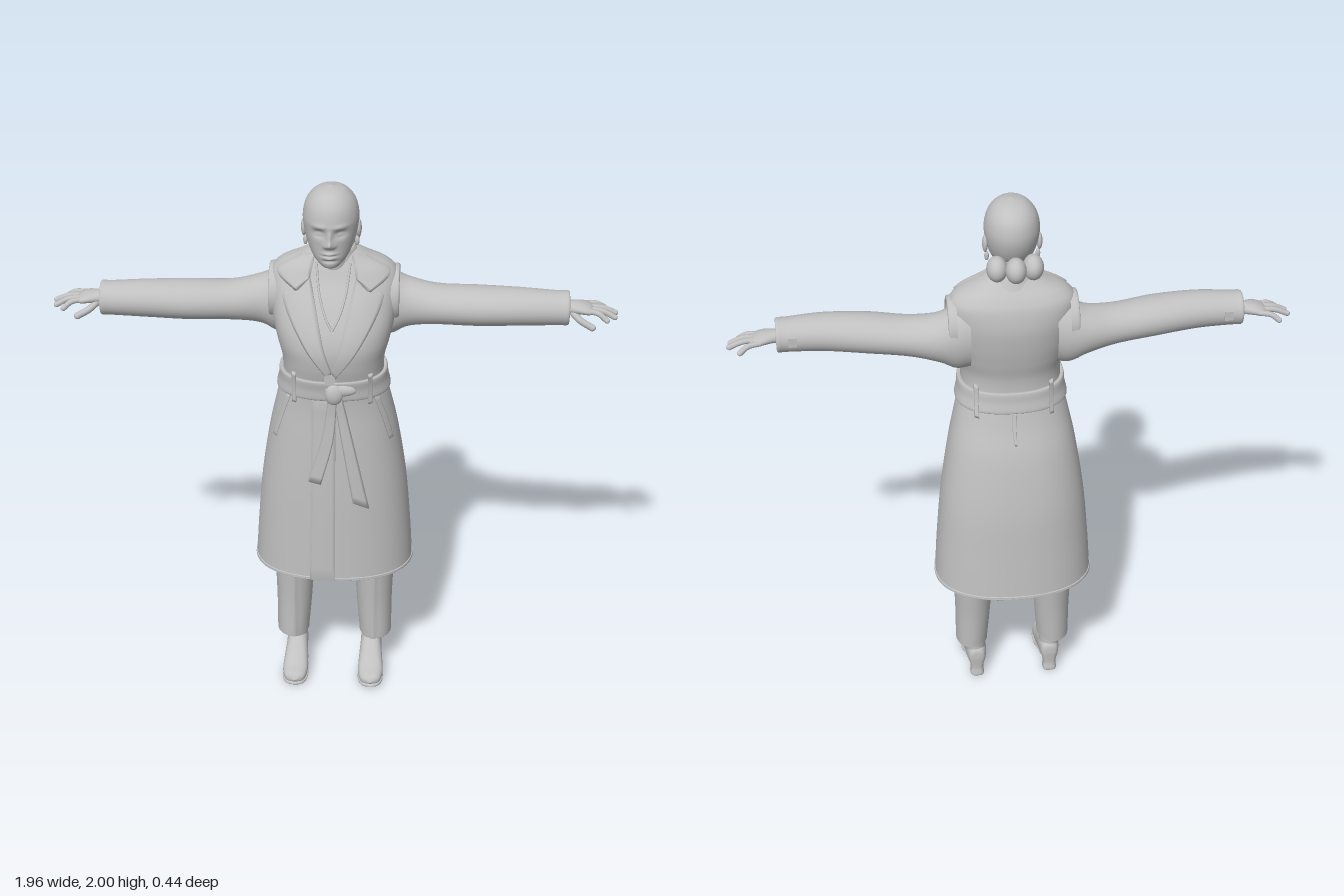
import * as THREE from 'three';

const grey = new THREE.MeshStandardMaterial({ color: 0xc0c0c0, side: THREE.DoubleSide });
grey.name = 'plain grey';

// smooth interpolation through a list of cross-sections [x, y, z, radiusA, radiusB]
function sample(rows, t) {
  const n = rows.length - 1, f = Math.min(Math.max(t, 0), 1) * n;
  const i = Math.min(Math.floor(f), n - 1), u = f - i;
  return rows[i].map((b, k) => {
    const c = rows[i + 1][k];
    const a = i > 0 ? rows[i - 1][k] : 2 * b - c;
    const d = i + 2 <= n ? rows[i + 2][k] : 2 * c - b;
    return 0.5 * (2 * b + (c - a) * u + (2 * a - 5 * b + 4 * c - d) * u * u + (3 * b - a - 3 * c + d) * u * u * u);
  });
}

const power = (v, p) => Math.sign(v) * Math.pow(Math.abs(v), 2 / p);

// skin rings of superellipses laid across one axis
function loft(rows, axis = 'y', { seg = 32, steps = 40, p = 2, rule } = {}) {
  const pos = [], idx = [];
  const main = 'xyz'.indexOf(axis);
  const flip = (axis !== 'y') !== (rows[rows.length - 1][main] < rows[0][main]);
  for (let i = 0; i <= steps; i++) {
    const [x, y, z, ra, rb] = sample(rows, i / steps);
    for (let j = 0; j < seg; j++) {
      const t = (j / seg) * Math.PI * 2;
      const a = Math.max(ra, 0) * power(Math.cos(t), p), b = Math.max(rb, 0) * power(Math.sin(t), p);
      const v = axis === 'y' ? [x + a, y, z + b] : axis === 'x' ? [x, y + a, z + b] : [x + a, y + b, z];
      pos.push(...(rule ? rule(v) : v));
      if (i < steps) {
        const q = i * seg + j, r = i * seg + ((j + 1) % seg);
        if (flip) idx.push(q, r, q + seg, r, r + seg, q + seg);
        else idx.push(q, q + seg, r, r, q + seg, r + seg);
      }
    }
  }
  return build(pos, idx);
}

function build(pos, idx) {
  const g = new THREE.BufferGeometry();
  g.setAttribute('position', new THREE.Float32BufferAttribute(pos, 3));
  g.setIndex(idx);
  g.computeVertexNormals();
  return g;
}

// coat body from hem to collar
const coatRows = [
  [0, 0.49, -0.015, 0.288, 0.207], [0, 0.65, -0.01, 0.278, 0.2], [0, 0.85, -0.003, 0.26, 0.19],
  [0, 1.05, 0.012, 0.23, 0.168], [0, 1.18, 0.03, 0.203, 0.145], [0, 1.28, 0.045, 0.18, 0.137],
  [0, 1.36, 0.055, 0.178, 0.145], [0, 1.43, 0.05, 0.195, 0.155], [0, 1.5, 0.035, 0.21, 0.153],
  [0, 1.58, 0.012, 0.218, 0.137], [0, 1.65, -0.005, 0.22, 0.11], [0, 1.69, -0.005, 0.19, 0.09],
  [0, 1.72, 0, 0.13, 0.07], [0, 1.745, 0.005, 0.08, 0.055], [0, 1.75, 0.01, 0.05, 0.04]];
const COAT_P = 2.3;

function coatAt(y) {
  let lo = 0, hi = 1;
  for (let i = 0; i < 30; i++) {
    const m = (lo + hi) / 2;
    if (sample(coatRows, m)[1] < y) lo = m; else hi = m;
  }
  return sample(coatRows, lo);
}
function coatZ(x, y, side = 1) {
  const [, , cz, a, b] = coatAt(y);
  const k = Math.min(Math.abs(x) / a, 1);
  return cz + side * b * Math.pow(1 - Math.pow(k, COAT_P), 1 / COAT_P);
}

// cloth piece between two edge lines, draped over the coat
function drape(edgeA, edgeB, lift = 0.01, side = 1, rows = 14, cols = 8) {
  const along = (e, t) => sample(e, t), pos = [], idx = [], w = cols + 3;
  const params = (n) => [0, ...Array.from({ length: n + 1 }, (_, i) => i / n), 1];
  const us = params(rows), vs = params(cols);
  us.forEach((u, i) => vs.forEach((v, j) => {
    const a = along(edgeA, u), b = along(edgeB, u);
    const x = a[0] + (b[0] - a[0]) * v, y = a[1] + (b[1] - a[1]) * v;
    const rim = i === 0 || j === 0 || i === us.length - 1 || j === vs.length - 1;
    pos.push(x, y, coatZ(x, y, side) + side * (rim ? -0.004 : lift));
    if (i < us.length - 1 && j < vs.length - 1) {
      const q = i * w + j;
      idx.push(q, q + w, q + 1, q + 1, q + w, q + w + 1);
    }
  }));
  const n = [edgeA[0], edgeB[0], edgeA[edgeA.length - 1]];
  const turn = (n[2][0] - n[0][0]) * (n[1][1] - n[0][1]) - (n[2][1] - n[0][1]) * (n[1][0] - n[0][0]);
  if (turn * side < 0) idx.reverse();
  return build(pos, idx).toNonIndexed();
}

function tube(points, r, seg = 24) {
  const c = new THREE.CatmullRomCurve3(points.map((q) => new THREE.Vector3(...q)));
  return new THREE.TubeGeometry(c, seg, r, 10);
}
const ball = (x, y, z, a, b, c) => new THREE.SphereGeometry(1, 24, 16).scale(a, b, c).translate(x, y, z);

function mirrored(g) {
  const m = (g.index ? g.toNonIndexed() : g.clone()).scale(-1, 1, 1);
  for (const name of ['position', 'normal']) {
    const at = m.attributes[name];
    for (let i = 0; i < at.count; i += 3) {
      const s = [at.getX(i), at.getY(i), at.getZ(i)];
      at.setXYZ(i, at.getX(i + 1), at.getY(i + 1), at.getZ(i + 1));
      at.setXYZ(i + 1, ...s);
    }
  }
  return m;
}

// facial relief: sockets, brow, nose, lips and chin
const bump = (x, y, cx, cy, sx, sy) => Math.exp(-(((x - cx) / sx) ** 2) - ((y - cy) / sy) ** 2);
function face([x, y, z]) {
  if (z < 0.09) return [x - 0.008, y, z];
  const ax = Math.abs(x);
  const d = -0.014 * bump(ax, y, 0.036, 1.862, 0.019, 0.014) + 0.007 * bump(ax, y, 0.036, 1.86, 0.013, 0.006)
    + 0.005 * bump(ax, y, 0.035, 1.888, 0.025, 0.008)
    + 0.022 * bump(x, y, 0, 1.827, 0.012, 0.013) + 0.013 * bump(x, y, 0, 1.85, 0.008, 0.022)
    + 0.008 * bump(ax, y, 0.014, 1.82, 0.007, 0.008)
    + 0.009 * bump(x, y, 0, 1.79, 0.02, 0.006) + 0.009 * bump(x, y, 0, 1.775, 0.018, 0.006)
    - 0.005 * bump(x, y, 0, 1.783, 0.024, 0.003) - 0.006 * bump(x, y, 0, 1.762, 0.025, 0.006);
  return [x - 0.008, y, z + d];
}

export function createModel() {
  const model = new THREE.Group();
  model.name = 'womanInCoat';
  const add = (name, g) => {
    const m = new THREE.Mesh(g, grey);
    m.name = name;
    model.add(m);
  };
  const pair = (name, g) => { add(name + 'Left', g); add(name + 'Right', mirrored(g)); };

  // head, neck and hair
  add('head', loft([[0, 1.725, 0.115, 0.001, 0.001], [0, 1.732, 0.112, 0.03, 0.042], [0, 1.76, 0.094, 0.058, 0.072],
    [0, 1.8, 0.076, 0.078, 0.092], [0, 1.85, 0.066, 0.091, 0.106], [0, 1.9, 0.064, 0.095, 0.111],
    [0, 1.95, 0.064, 0.082, 0.097], [0, 1.985, 0.066, 0.05, 0.06], [0, 2.0, 0.068, 0.001, 0.001]],
  'y', { seg: 96, steps: 90, rule: face }));
  add('neck', loft([[0, 1.58, 0.02, 0.08, 0.06], [0, 1.68, 0.025, 0.062, 0.058], [-0.004, 1.75, 0.04, 0.053, 0.055],
    [-0.008, 1.83, 0.05, 0.058, 0.06]]));
  for (const s of [1, -1]) {
    add('ear', ball(s * 0.093 - 0.008, 1.838, 0.05, 0.01, 0.032, 0.019));
    add('earring', ball(s * 0.088 - 0.008, 1.79, 0.05, 0.008, 0.018, 0.008));
    add('sideBun', ball(s * 0.062 - 0.008, 1.785, -0.035, 0.036, 0.045, 0.045));
  }
  add('backBun', ball(-0.008, 1.79, -0.062, 0.036, 0.045, 0.045));

  // coat body, belt, collar
  add('coat', loft(coatRows, 'y', { seg: 72, steps: 110, p: COAT_P }));
  const grow = (y, d) => coatAt(y).map((v, k) => (k > 2 ? v + d : v));
  const band = (name, y0, y1, d) => add(name, loft([grow(y0, 0), grow(y0 + 0.001, d), grow((y0 + y1) / 2, d),
    grow(y1 - 0.001, d), grow(y1, 0)], 'y', { seg: 72, steps: 16, p: COAT_P }));
  band('belt', 1.24, 1.315, 0.012);
  band('hemBand', 0.49, 0.502, 0.003);
  add('standCollar', loft([[0, 1.67, -0.005, 0.12, 0.095], [0, 1.72, 0.003, 0.09, 0.075], [0, 1.752, 0.01, 0.074, 0.066],
    [0, 1.752, 0.01, 0.066, 0.058], [0, 1.7, 0.01, 0.062, 0.055]]));
  pair('lapel', drape([[0.078, 1.67], [0.054, 1.57], [0.028, 1.45], [0, 1.36]],
    [[0.118, 1.63], [0.172, 1.6], [0.1, 1.46], [0.012, 1.335]], 0.013, 1, 24));
  pair('collarLeaf', drape([[0.062, 1.742], [0.07, 1.705], [0.08, 1.668]],
    [[0.11, 1.728], [0.195, 1.675], [0.125, 1.625]], 0.013));
  pair('necklace', tube([[0.058, 1.715], [0.045, 1.62], [0.022, 1.55], [0, 1.51]]
    .map(([x, y]) => [x, y, coatZ(x, y) + 0.003]), 0.004));
  add('frontOverlap', drape([[0.012, 1.24], [0.012, 0.87], [0.012, 0.492]],
    [[-0.07, 1.24], [-0.075, 0.87], [-0.08, 0.492]], 0.006));
  add('frontButton', new THREE.CylinderGeometry(0.02, 0.02, 0.014, 20).rotateX(Math.PI / 2)
    .translate(-0.006, 1.335, coatZ(0, 1.335) + 0.012));
  pair('pocketWelt', drape([[0.145, 1.235], [0.175, 1.14], [0.2, 1.05]],
    [[0.165, 1.225], [0.193, 1.135], [0.214, 1.05]], 0.006));
  for (const side of [1, -1]) {
    pair('beltLoop', drape([[0.125, 1.335], [0.125, 1.28], [0.125, 1.22]],
      [[0.14, 1.335], [0.14, 1.28], [0.14, 1.22]], 0.018, side));
  }
  add('backSeam', drape([[-0.004, 1.24], [-0.004, 1.18], [-0.004, 1.12]],
    [[0.008, 1.24], [0.01, 1.18], [0.004, 1.12]], 0.006, -1));

  // tied belt knot and hanging ends
  add('beltKnot', ball(0.008, 1.27, coatZ(0, 1.27) + 0.016, 0.032, 0.04, 0.02));
  add('beltBow', ball(0.03, 1.285, coatZ(0, 1.28) + 0.012, 0.055, 0.022, 0.014));
  add('beltEndRight', drape([[-0.012, 1.26], [-0.035, 1.09], [-0.085, 0.915]],
    [[0.018, 1.25], [0.005, 1.08], [-0.038, 0.905]], 0.018));
  add('beltEndLeft', drape([[0.005, 1.26], [0.04, 1.04], [0.075, 0.83]],
    [[0.035, 1.25], [0.085, 1.02], [0.132, 0.8]], 0.016));

  // sleeves with cuffs
  pair('sleeve', loft([[0.15, 1.53, -0.03, 0.12, 0.08], [0.2, 1.525, -0.03, 0.118, 0.085], [0.26, 1.526, -0.03, 0.088, 0.082],
    [0.36, 1.528, -0.01, 0.07, 0.08], [0.5, 1.536, 0.012, 0.069, 0.082], [0.65, 1.542, 0.025, 0.065, 0.072],
    [0.77, 1.54, 0.025, 0.06, 0.063], [0.805, 1.54, 0.024, 0.06, 0.062], [0.806, 1.54, 0.024, 0.05, 0.052],
    [0.76, 1.54, 0.024, 0.045, 0.047]], 'x', { steps: 70 }));
  pair('shoulderSeam', loft([[0.195, 1.57, -0.015, 0.1, 0.095], [0.222, 1.57, -0.015, 0.098, 0.092],
    [0.226, 1.57, -0.015, 0.085, 0.08]], 'x', { steps: 12 }));
  pair('cuffTab', new THREE.BoxGeometry(0.03, 0.035, 0.012).translate(0.755, 1.545, -0.038));

  // hands
  pair('palm', loft([[0.76, 1.54, 0.02, 0.024, 0.03], [0.81, 1.541, 0.018, 0.022, 0.03], [0.85, 1.54, 0.016, 0.02, 0.042],
    [0.88, 1.535, 0.014, 0.016, 0.044], [0.9, 1.532, 0.014, 0.006, 0.03]], 'x', { seg: 20, steps: 20 }));
  const fingers = [[0.94, 1.512, 0.062, 0.04], [0.968, 1.512, 0.034, 0.024],
    [0.972, 1.515, 0.002, 0.004], [0.935, 1.515, -0.04, -0.02]];
  fingers.forEach(([x, y, z, z0]) => {
    pair('finger', tube([[0.865, 1.537, z0], [(0.865 + x) / 2 + 0.008, 1.533, (z0 + z) / 2], [x, y, z]], 0.0098, 12));
    pair('fingertip', ball(x, y, z, 0.01, 0.0098, 0.0098));
  });
  pair('thumb', tube([[0.82, 1.53, 0.035], [0.85, 1.51, 0.062], [0.89, 1.488, 0.07]], 0.012, 12));
  pair('thumbTip', ball(0.89, 1.488, 0.07, 0.013, 0.012, 0.012));

  // trousers with front crease
  const crease = ([x, y, z]) => [x, y, z + (z > 0 ? 0.008 * Math.exp(-(((x - 0.148) / 0.008) ** 2)) : 0)];
  pair('trouserLeg', loft([[0.155, 0.18, -0.005, 0.045, 0.055], [0.155, 0.152, -0.005, 0.058, 0.072],
    [0.155, 0.165, -0.005, 0.06, 0.075], [0.15, 0.3, -0.01, 0.066, 0.08], [0.147, 0.48, -0.015, 0.075, 0.094],
    [0.14, 0.7, -0.015, 0.085, 0.1], [0.12, 1.0, 0, 0.09, 0.1]], 'y', { seg: 48, rule: crease }));

  // heeled ankle boots
  pair('bootFoot', loft([[0.14, 0.085, -0.075, 0.001, 0.001], [0.14, 0.088, -0.068, 0.028, 0.035], [0.14, 0.088, -0.03, 0.038, 0.045],
    [0.14, 0.075, 0.02, 0.04, 0.052], [0.141, 0.05, 0.08, 0.045, 0.042], [0.142, 0.033, 0.13, 0.046, 0.028],
    [0.142, 0.026, 0.168, 0.034, 0.02], [0.142, 0.024, 0.184, 0.001, 0.001]], 'z', { p: 2.4 }));
  pair('bootShaft', loft([[0.14, 0.07, -0.018, 0.036, 0.052], [0.143, 0.12, -0.016, 0.038, 0.05],
    [0.148, 0.2, -0.012, 0.043, 0.055]], 'y'));
  pair('bootSole', loft([[0.14, 0.046, -0.03, 0.03, 0.006], [0.14, 0.036, 0.02, 0.036, 0.006], [0.141, 0.012, 0.08, 0.046, 0.007],
    [0.142, 0.008, 0.14, 0.046, 0.008], [0.142, 0.009, 0.176, 0.03, 0.007], [0.142, 0.01, 0.187, 0.001, 0.001]], 'z', { p: 3 }));
  pair('bootHeel', loft([[0.14, 0, -0.05, 0.001, 0.001], [0.14, 0.001, -0.05, 0.025, 0.026], [0.14, 0.035, -0.048, 0.024, 0.025],
    [0.14, 0.08, -0.04, 0.034, 0.036]], 'y', { p: 3, steps: 18 }));

  return model;
}
